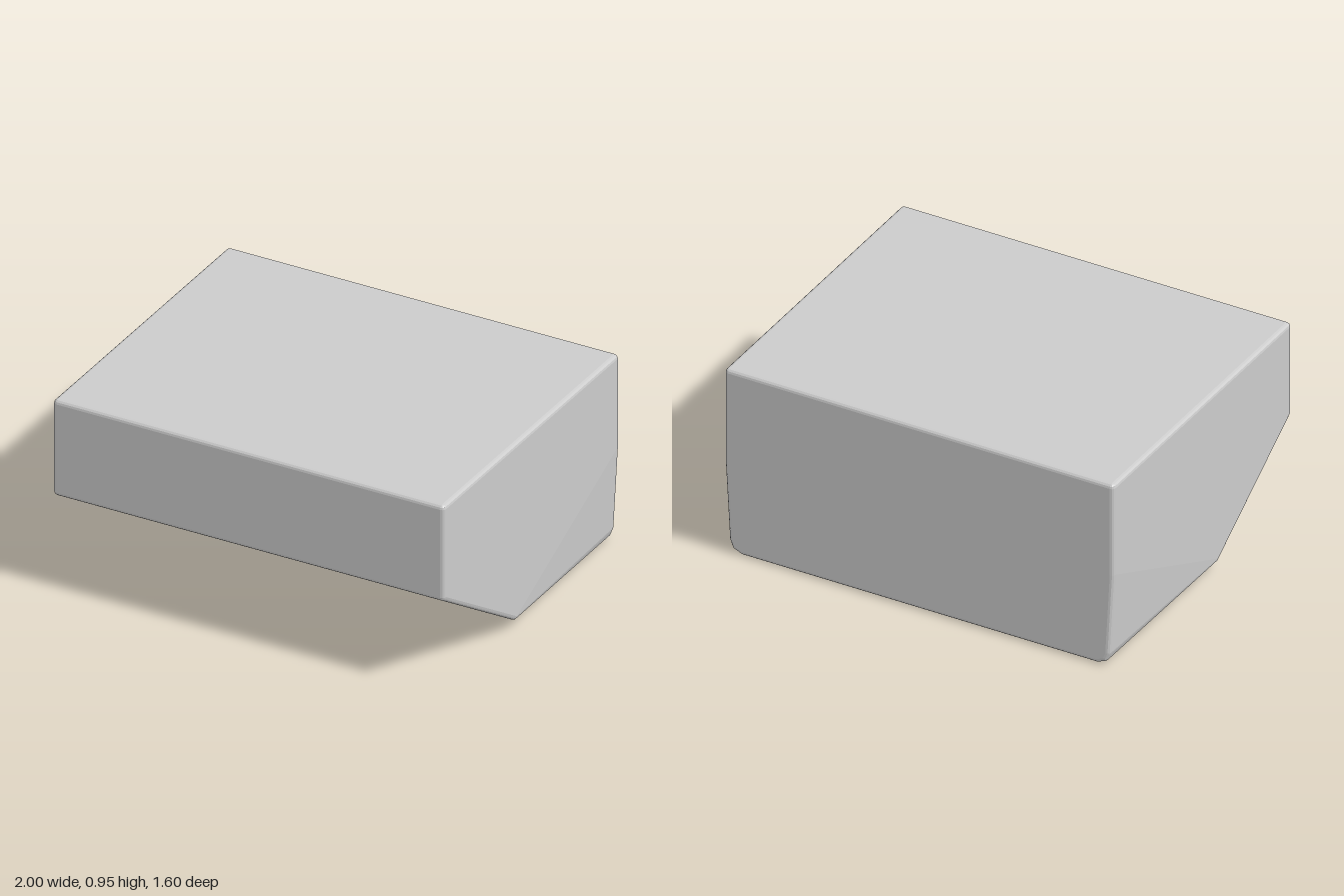
import * as THREE from 'three';
import { ConvexGeometry } from 'three/addons/geometries/ConvexGeometry.js';

// Bevel radius of every edge
const R = 0.02;

// Points of a small ball in 30 degree steps
function ballPoints(x, y, z) {
  const points = [new THREE.Vector3(x, y + R, z), new THREE.Vector3(x, y - R, z)];
  for (let e = -60; e <= 60; e += 30) {
    for (let a = 0; a < 360; a += 30) {
      const p = THREE.MathUtils.degToRad(e), t = THREE.MathUtils.degToRad(a);
      points.push(new THREE.Vector3(
        x + R * Math.cos(p) * Math.cos(t),
        y + R * Math.sin(p),
        z + R * Math.cos(p) * Math.sin(t)));
    }
  }
  return points;
}

export function createModel() {
  const group = new THREE.Group();
  group.name = 'wedgeBlock';

  // Bevel centres on the left half: x, y, z
  const corners = [
    [0.98, 0.935, 0.78],    // top front
    [0.98, 0.935, -0.78],   // top back
    [0.98, 0.485, 0.78],    // top of the front slope
    [0.98, 0.07, 0.135],    // foot of the front slope
    [0.98, 0.48, -0.78],    // start of the rear side taper
    [0.957, 0.065, -0.78],  // rear bottom corner, rounded inwards
    [0.945, 0.035, -0.78],
    [0.91, 0.02, -0.78],
    [0.90, 0.02, -0.64],    // where the underside levels out
  ];

  // Mirror the corners and wrap them in one bevelled skin
  const points = corners.flatMap(([x, y, z]) => [...ballPoints(x, y, z), ...ballPoints(-x, y, z)]);
  const body = new THREE.Mesh(
    new ConvexGeometry(points),
    new THREE.MeshStandardMaterial({ color: 0xcccccc, flatShading: true }));
  body.name = 'body';
  group.add(body);
  return group;
}
